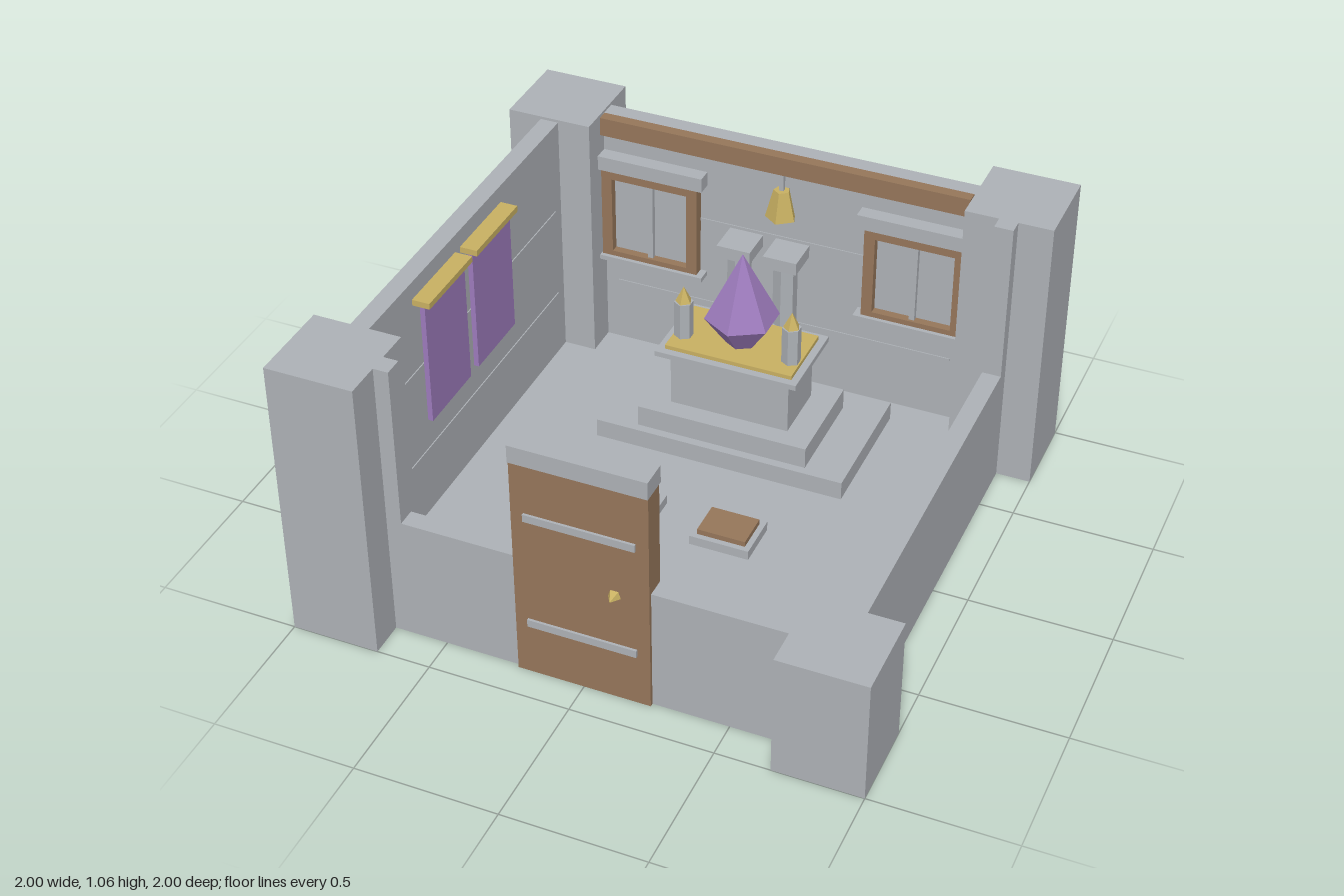
import * as THREE from 'three';

export function createModel() {
  const root = new THREE.Group();
  const mat = (name, color) => {
    const m = new THREE.MeshStandardMaterial({ color, flatShading: true });
    m.name = name;
    return m;
  };
  const stone = mat('stone', 0xadb1b6);
  const wood = mat('wood', 0x95765a);
  const gold = mat('gold', 0xc8b062);
  const purple = mat('purple', 0x9c7abb);

  const add = (name, geo, m, x = 0, y = 0, z = 0) => {
    const mesh = new THREE.Mesh(geo, m);
    mesh.name = name;
    mesh.position.set(x, y, z);
    root.add(mesh);
    return mesh;
  };
  // box given by its limits on each axis
  const box = (name, m, x0, x1, y0, y1, z0, z1) =>
    add(name, new THREE.BoxGeometry(x1 - x0, y1 - y0, z1 - z0), m,
      (x0 + x1) / 2, (y0 + y1) / 2, (z0 + z1) / 2);
  // faceted cylinder or cone given by its base and top heights
  const prism = (name, m, rTop, rBottom, sides, x, y0, y1, z) =>
    add(name, new THREE.CylinderGeometry(rTop, rBottom, y1 - y0, sides), m, x, (y0 + y1) / 2, z);

  const HIGH = 1.055, TOP = 1.045, LOW = 0.46, FLOOR = 0.1;

  // floor slab and corner towers
  box('floor', stone, -0.86, 0.86, 0.005, FLOOR, -0.86, 0.86);
  for (const sx of [-1, 1]) for (const sz of [-1, 1]) {
    const h = sx > 0 && sz > 0 ? LOW : HIGH;
    add('cornerTower', new THREE.BoxGeometry(0.31, h, 0.31), stone, sx * 0.845, h / 2, sz * 0.845);
  }

  // two tall walls, two cut-down walls with tall stubs at their ends
  box('backWall', stone, -0.69, 0.69, 0, TOP, -0.877, -0.81);
  box('leftWall', stone, -0.877, -0.81, 0, TOP, -0.69, 0.69);
  box('frontWall', stone, -0.69, 0.69, 0, LOW, 0.805, 0.872);
  box('rightWall', stone, 0.81, 0.877, 0, LOW, -0.69, 0.69);
  box('frontWallStub', stone, -0.69, -0.637, LOW, HIGH, 0.805, 0.872);
  box('rightWallStub', stone, 0.81, 0.877, LOW, HIGH, -0.69, -0.637);

  // thin courses running along the tall walls
  for (const y of [0.35, 0.7]) {
    box('backCourse', stone, -0.64, 0.64, y - 0.005, y + 0.005, -0.881, -0.806);
    box('leftCourse', stone, -0.881, -0.806, y - 0.005, y + 0.005, -0.64, 0.64);
  }

  // roof beam with hanging bell
  box('beam', wood, -0.685, 0.685, 0.98, 1.05, -0.81, -0.77);
  box('bellCord', stone, -0.008, 0.008, 0.9, 0.98, -0.798, -0.782);
  prism('bell', gold, 0.03, 0.058, 5, 0, 0.8, 0.91, -0.79);

  // windows on the back wall
  for (const s of [-1, 1]) {
    const c = s * 0.5;
    for (const e of [-1, 1]) {
      const j = c + e * 0.165;
      box('windowJamb', wood, j - 0.02, j + 0.02, 0.48, 0.845, -0.815, -0.77);
    }
    box('windowHead', wood, c - 0.15, c + 0.15, 0.805, 0.845, -0.815, -0.77);
    box('windowFoot', wood, c - 0.15, c + 0.15, 0.48, 0.502, -0.815, -0.77);
    box('windowPane', stone, c - 0.147, c + 0.147, 0.5, 0.807, -0.815, -0.8);
    box('windowMullion', stone, c - 0.01, c + 0.01, 0.5, 0.807, -0.805, -0.78);
    box('windowLintel', stone, c - 0.21, c + 0.21, 0.845, 0.9, -0.82, -0.755);
    box('windowSill', stone, c - 0.21, c + 0.21, 0.464, 0.482, -0.82, -0.755);
  }

  // door with jambs, iron bands, lintel and knob
  box('door', wood, -0.205, 0.205, 0, 0.845, 0.83, 0.885);
  for (const s of [-1, 1]) {
    const j = s * 0.219;
    box('doorJamb', wood, j - 0.015, j + 0.015, 0, 0.845, 0.803, 0.885);
  }
  box('doorLintel', stone, -0.235, 0.235, 0.845, 0.91, 0.793, 0.89);
  for (const y of [0.212, 0.643])
    box('doorBand', stone, -0.19, 0.19, y - 0.014, y + 0.014, 0.88, 0.894);
  add('doorKnob', new THREE.ConeGeometry(0.025, 0.04, 5), gold, 0.115, 0.425, 0.902)
    .rotation.x = Math.PI / 2;

  // stepped altar
  box('lowerStep', stone, -0.462, 0.462, FLOOR, 0.17, -0.72, -0.217);
  box('upperStep', stone, -0.315, 0.315, 0.17, 0.25, -0.625, -0.248);
  box('altarBody', stone, -0.22, 0.22, 0.25, 0.465, -0.55, -0.32);
  box('altarSlab', stone, -0.262, 0.262, 0.465, 0.485, -0.595, -0.277);
  box('altarCloth', gold, -0.235, 0.235, 0.485, 0.5, -0.565, -0.305);

  // crystal on the altar
  prism('crystalTop', purple, 0, 0.132, 6, 0, 0.605, 0.86, -0.432);
  prism('crystalBase', purple, 0.132, 0.055, 6, 0, 0.5, 0.605, -0.432);

  // candles, and pillars behind the altar
  for (const s of [-1, 1]) {
    prism('candle', stone, 0.034, 0.034, 6, s * 0.2, 0.5, 0.64, -0.39);
    prism('flame', gold, 0, 0.03, 5, s * 0.2, 0.64, 0.7, -0.39);
    const x = s * 0.086;
    prism('pillar', stone, 0.043, 0.043, 6, x, 0.17, 0.735, -0.617);
    box('pillarCapital', stone, x - 0.062, x + 0.062, 0.735, 0.782, -0.68, -0.555);
  }

  // kneeling stools
  for (const x of [-0.187, 0.183]) {
    box('stool', stone, x - 0.107, x + 0.107, FLOOR, 0.135, 0.035, 0.207);
    box('stoolCushion', wood, x - 0.087, x + 0.087, 0.135, 0.155, 0.057, 0.187);
  }

  // banners on the left wall
  for (const z of [0.253, -0.083]) {
    box('banner', purple, -0.79, -0.772, 0.495, 0.962, z - 0.139, z + 0.139);
    box('bannerRod', gold, -0.812, -0.747, 0.96, 0.982, z - 0.151, z + 0.151);
  }

  return root;
}
